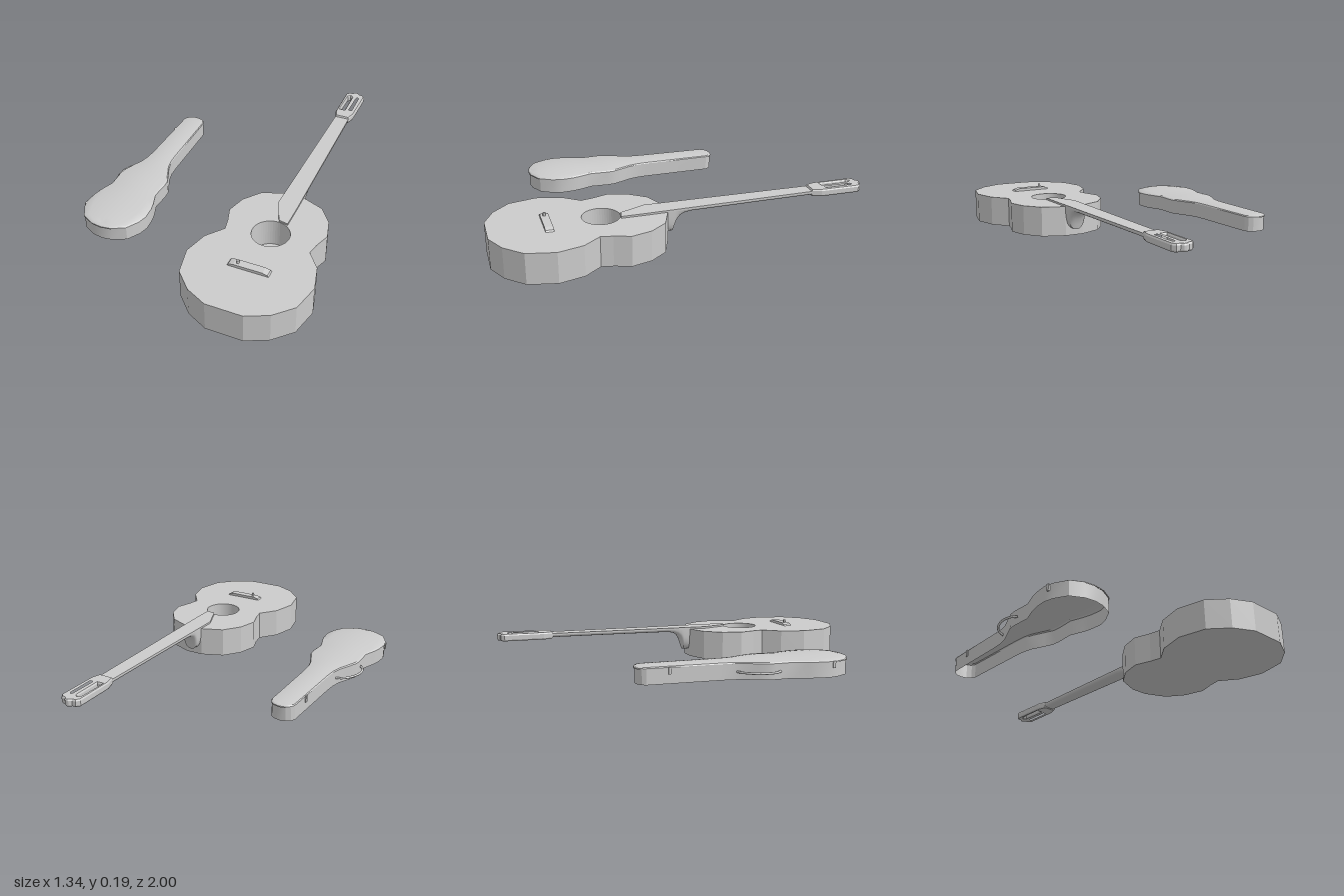
import * as THREE from 'three';
import { toCreasedNormals } from 'three/addons/utils/BufferGeometryUtils.js';

const GUITAR_X = 0.338, CASE_X = -0.497;
const grey = new THREE.MeshStandardMaterial({ color: 0xcccccc });
const greyThin = new THREE.MeshStandardMaterial({ color: 0xcccccc, side: THREE.DoubleSide });

const mesh = (name, geometry, material = grey) => {
  const m = new THREE.Mesh(geometry, material);
  m.name = name;
  return m;
};

// Half outline [halfWidth, z] -> closed symmetric outline
const mirrored = (half) => [
  ...half,
  ...half.filter(([x]) => x > 0).reverse().map(([x, z]) => [-x, z]),
];
const path = (pts, Type = THREE.Shape) => new Type(pts.map(([x, z]) => new THREE.Vector2(x, z)));

// Horizontal slab with an (x, z) outline, between two heights
function slab(pts, y0, y1, holes = [], bevel = 0) {
  const shape = path(pts);
  shape.holes.push(...holes);
  const g = new THREE.ExtrudeGeometry(shape, {
    depth: y1 - y0 - 2 * bevel, curveSegments: 24,
    bevelEnabled: bevel > 0, bevelThickness: bevel, bevelSize: bevel * 0.6,
    bevelOffset: -bevel * 0.6, bevelSegments: 1,
  });
  return g.rotateX(Math.PI / 2).translate(0, y1 - bevel, 0);
}

// Skin over rows of points with equal counts
function loft(rows, crease) {
  const n = rows[0].length, index = [];
  for (let i = 0; i < rows.length - 1; i++) {
    for (let j = 0; j < n - 1; j++) {
      const a = i * n + j, b = a + 1, c = a + n, d = c + 1;
      index.push(a, c, b, b, c, d);
    }
  }
  const g = new THREE.BufferGeometry();
  g.setAttribute('position', new THREE.Float32BufferAttribute(rows.flat(2), 3));
  g.setIndex(index);
  return toCreasedNormals(g, crease);
}

function createGuitar() {
  const guitar = new THREE.Group();
  guitar.name = 'guitar';
  guitar.position.x = GUITAR_X;

  // Hollow-looking body: solid back plate plus a block with the sound hole
  const body = mirrored([
    [0.095, 0.998], [0.205, 0.945], [0.293, 0.855], [0.326, 0.71], [0.293, 0.58],
    [0.224, 0.49], [0.236, 0.43], [0.264, 0.345], [0.236, 0.24], [0.168, 0.15], [0.05, 0.103],
  ]);
  const hole = new THREE.Path().absarc(0, 0.436, 0.097, 0, Math.PI * 2);
  guitar.add(mesh('bodyBack', slab(body, 0, 0.008)));
  guitar.add(mesh('body', slab(body, 0.008, 0.16, [hole])));

  // Rounded neck flowing into the heel: [z, halfWidth, bottomHeight]
  const stations = [
    [-0.72, 0.04, 0.145], [-0.4, 0.045, 0.145], [-0.03, 0.05, 0.144], [0.01, 0.05, 0.138],
    [0.035, 0.05, 0.122], [0.052, 0.05, 0.095], [0.062, 0.05, 0.065], [0.07, 0.05, 0.037], [0.12, 0.05, 0.037],
  ];
  const neck = stations.map(([z, w, bottom]) => {
    const row = [];
    for (let j = 0; j <= 12; j++) {
      const a = (j / 12) * Math.PI;
      const c = Math.cos(a);
      row.push([w * Math.sign(c) * Math.abs(c) ** 0.8, 0.162 - (0.162 - bottom) * Math.sin(a) ** 0.7, z]);
    }
    return row;
  });
  guitar.add(mesh('neck', loft(neck, 0.9)));

  // Fretboard with its slanted end beside the sound hole
  guitar.add(mesh('fretboard', slab([
    [-0.04, -0.72], [0.04, -0.72], [0.054, 0.2], [0.054, 0.345], [0.003, 0.335], [-0.052, 0.2],
  ], 0.16, 0.17)));

  // Slotted headstock
  const slots = [-1, 1].map((s) => path([
    [s * 0.009, -0.78], [s * 0.038, -0.78], [s * 0.036, -0.935],
    [s * 0.024, -0.948], [s * 0.011, -0.935],
  ], THREE.Path));
  guitar.add(mesh('headstock', slab(mirrored([
    [0.04, -0.7], [0.055, -0.75], [0.057, -0.965], [0.042, -0.984], [0.022, -0.986], [0.01, -0.998], [0, -1],
  ]), 0.14, 0.179, slots, 0.008)));

  // Bridge with sloping ends, extruded front to back
  const profile = path([[-0.106, 0.16], [0.106, 0.16], [0.1, 0.168], [0.075, 0.175], [-0.075, 0.175], [-0.1, 0.168]]);
  const bridge = new THREE.ExtrudeGeometry(profile, { depth: 0.042, bevelEnabled: false });
  guitar.add(mesh('bridge', bridge.translate(0, 0, 0.686)));
  const peg = new THREE.CylinderGeometry(0.007, 0.007, 0.018, 10);
  guitar.add(mesh('bridgePeg', peg.translate(-0.057, 0.183, 0.708)));
  return guitar;
}

function createCase() {
  const box = new THREE.Group();
  box.name = 'guitarCase';
  box.position.x = CASE_X;

  const outline = mirrored([
    [0, 0.672], [0.055, 0.664], [0.122, 0.63], [0.16, 0.565], [0.173, 0.515], [0.168, 0.45],
    [0.157, 0.405], [0.132, 0.335], [0.137, 0.24], [0.133, 0.2], [0.114, 0.155], [0.085, 0.09],
    [0.073, 0.04], [0.069, -0.02], [0.063, -0.395], [0.052, -0.415], [0.03, -0.43], [0, -0.436],
  ]).reverse();
  outline.push(outline[0]);

  // Side wall, open underneath
  const wall = [0.03, 0.108].map((y) => outline.map(([x, z]) => [x, y, z]));
  box.add(mesh('caseWall', loft(wall, 0.4), greyThin));

  // Domed lid: rows shrink towards the centre line
  const rim = (s, y) => outline.map(([x, z]) => [x * s, y, 0.12 + (z - 0.12) * s]);
  const lid = [rim(1.01, 0.104), rim(1.01, 0.11)];
  for (const t of [0.96, 0.75, 0.5, 0.25, 0]) {
    lid.push(outline.map(([x, z]) => [
      x * t, 0.115 + 0.016 * (1 - t * t) * Math.abs(x) / 0.173,
      0.12 + (z - 0.12) * (0.98 + 0.02 * t),
    ]));
  }
  box.add(mesh('caseLid', loft(lid, 0.5), greyThin));

  // Carrying handle on the side
  const curve = new THREE.CatmullRomCurve3([
    [-0.078, 0.07, 0.06], [-0.11, 0.07, 0.075], [-0.148, 0.07, 0.12],
    [-0.167, 0.07, 0.18], [-0.16, 0.07, 0.235], [-0.136, 0.07, 0.265],
  ].map((p) => new THREE.Vector3(...p)));
  box.add(mesh('handle', new THREE.TubeGeometry(curve, 24, 0.006, 8)));

  // Latches
  for (const [x, z] of [[-0.066, -0.28], [-0.17, 0.54]]) {
    const latch = new THREE.BoxGeometry(0.01, 0.035, 0.014);
    box.add(mesh('latch', latch.translate(x, 0.095, z)));
  }
  return box;
}

export function createModel() {
  const model = new THREE.Group();
  model.name = 'guitarAndCase';
  model.add(createGuitar(), createCase());
  return model;
}
